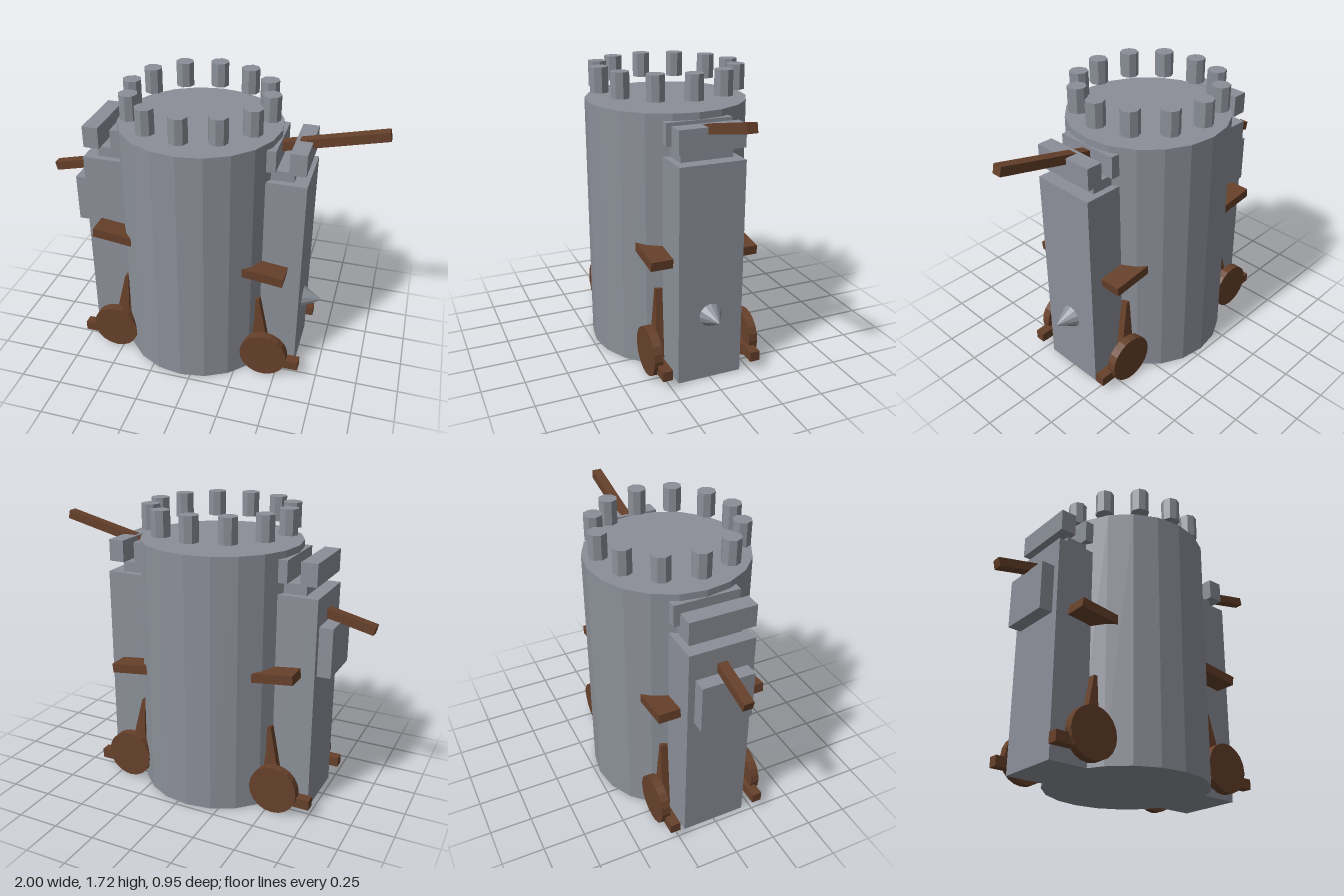
import * as THREE from 'three';

const stone = new THREE.MeshStandardMaterial({ color: 0x8b8f98 });
stone.name = 'stone grey';
const wood = new THREE.MeshStandardMaterial({ color: 0x66402a });
wood.name = 'wood brown';
stone.flatShading = wood.flatShading = true;

const CX = -0.06; // axis of the round tower

export function createModel() {
  const model = new THREE.Group();
  model.name = 'siegeTower';

  const add = (name, geometry, material, x, y, z) => {
    const mesh = new THREE.Mesh(geometry, material);
    mesh.name = name;
    mesh.position.set(x, y, z);
    model.add(mesh);
    return mesh;
  };

  // Box given by its extents; x is measured outward from the tower axis on side s
  const sideBox = (name, material, s, x0, x1, y0, y1, z0, z1) =>
    add(name, new THREE.BoxGeometry(x1 - x0, y1 - y0, z1 - z0), material,
      CX + s * (x0 + x1) / 2, (y0 + y1) / 2, (z0 + z1) / 2);

  // Tapered bar between two points; sizes are [x, z] at the bottom and top
  const taperedBar = (name, bottom, top, sizeBottom, sizeTop) => {
    const g = new THREE.BoxGeometry(1, 1, 1);
    const p = g.attributes.position;
    for (let i = 0; i < p.count; i++) {
      const up = p.getY(i) > 0;
      const c = up ? top : bottom;
      const size = up ? sizeTop : sizeBottom;
      p.setXYZ(i, c[0] + p.getX(i) * size[0], c[1], c[2] + p.getZ(i) * size[1]);
    }
    g.computeVertexNormals();
    add(name, g, wood, 0, 0, 0);
  };

  // Round tower and the ring of pegs above it
  add('tower', new THREE.CylinderGeometry(0.475, 0.475, 1.52, 20), stone, CX, 0.76, 0);
  for (let i = 0; i < 12; i++) {
    const a = (i / 12) * Math.PI * 2;
    add('battlementPeg', new THREE.CylinderGeometry(0.055, 0.055, 0.145, 8), stone,
      CX + 0.405 * Math.sin(a), 1.6475, 0.405 * Math.cos(a));
  }

  for (const s of [-1, 1]) {
    // Side tower with its stepped top
    sideBox('sideTower', stone, s, 0.35, 0.66, 0, 1.285, -0.195, 0.195);
    sideBox('topStep', stone, s, 0.4, 0.58, 1.285, 1.345, -0.155, 0.155);
    sideBox('outerParapet', stone, s, 0.555, 0.65, 1.35, 1.48, -0.195, 0.195);
    sideBox('innerParapet', stone, s, 0.42, 0.48, 1.35, 1.48, -0.195, 0.195);

    for (const f of [-1, 1]) {
      // Wheel and its axle block
      const wheel = add('wheel', new THREE.CylinderGeometry(0.145, 0.145, 0.053, 20), wood,
        CX + s * 0.483, 0.145, f * 0.3);
      wheel.rotation.x = Math.PI / 2;
      const z = [f * 0.245, f * 0.305].sort((a, b) => a - b);
      sideBox('axleBlock', wood, s, 0.46, 0.7, 0.06, 0.12, z[0], z[1]);

      // Long and short struts leaning on the wall behind the wheel
      taperedBar('longStrut', [CX + s * 0.465, 0.1, f * 0.25], [CX + s * 0.419, 0.5, f * 0.22],
        [0.11, 0.05], [0.022, 0.042]);
      taperedBar('shortStrut', [CX + s * 0.43, 0.1, f * 0.25], [CX + s * 0.397, 0.345, f * 0.225],
        [0.09, 0.04], [0.008, 0.03]);

      // Sloping plank between round tower and side tower
      const plank = add('plank', new THREE.BoxGeometry(0.29, 0.055, 0.17), wood,
        s < 0 ? -0.496 : 0.376, s < 0 ? 0.836 : 0.731, f * 0.24);
      plank.rotation.z = -0.118;
    }
  }

  // Beams sticking out near the top, both sloping the same way
  const beam = (name, x, y, length) => {
    add(name, new THREE.BoxGeometry(length, 0.053, 0.058), wood, x, y, 0).rotation.z = 0.232;
  };
  beam('leftoverRightBeam'.replace('leftoverRightB', 'upperB'), 0.655, 1.486, 0.7);
  beam('lowerBeam', -0.83, 1.136, 0.335);

  // Wall box on one side, spike on the other
  sideBox('wallBox', stone, -1, 0.64, 0.74, 0.83, 1.12, -0.155, 0.155);
  const spike = add('spike', new THREE.ConeGeometry(0.07, 0.115, 12), stone, 0.657, 0.4, 0);
  spike.rotation.z = -Math.PI / 2;

  return model;
}
